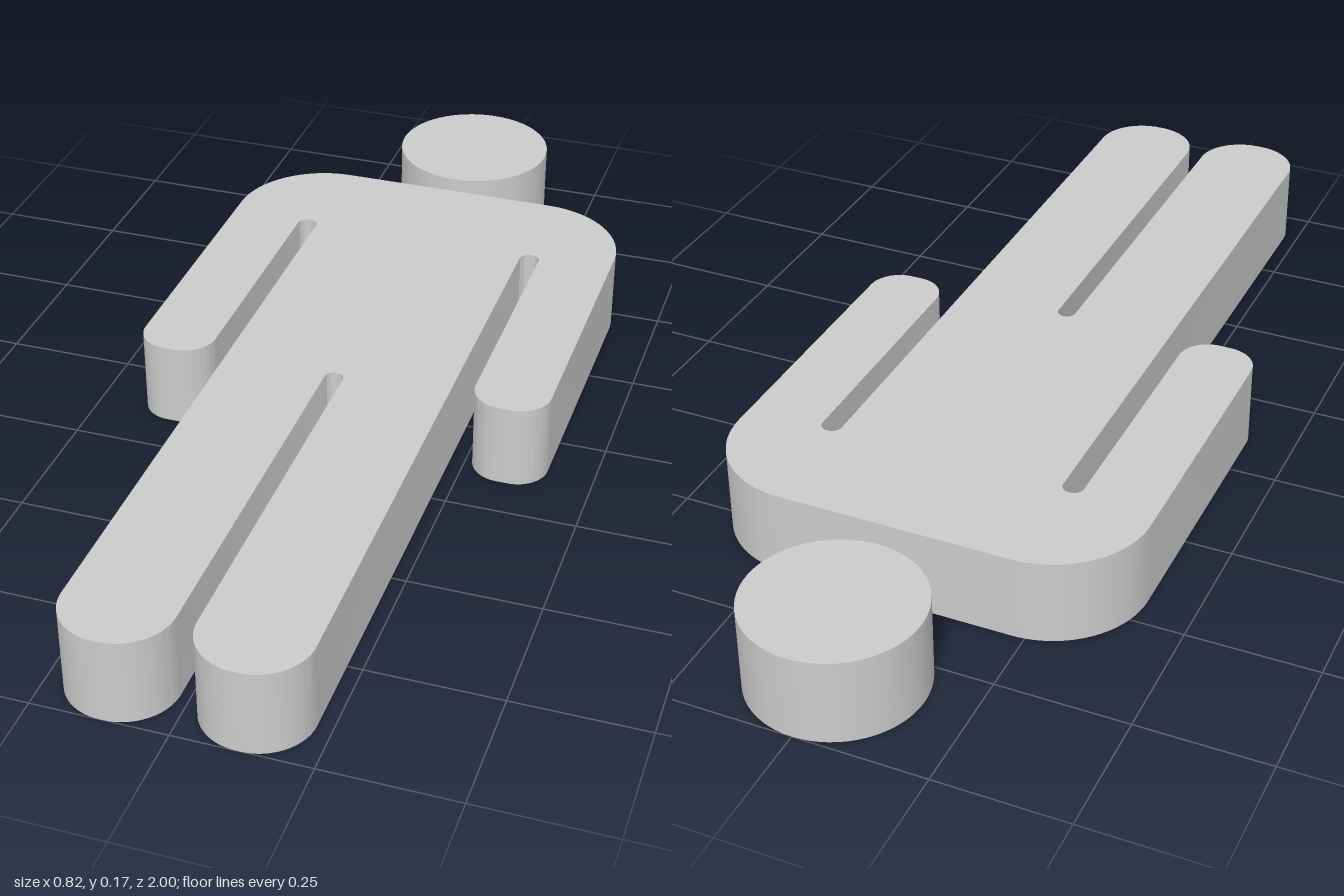
import * as THREE from 'three';
import { toCreasedNormals } from 'three/addons/utils/BufferGeometryUtils.js';

const THICKNESS = 0.167;

// Closed outline from corners [x, y, radius], each corner rounded by an arc
function roundedOutline(corners) {
  const shape = new THREE.Shape();
  const n = corners.length;
  corners.forEach(([x, y, r], i) => {
    const p = new THREE.Vector2(x, y);
    const toward = ([qx, qy]) => new THREE.Vector2(qx - x, qy - y).normalize().multiplyScalar(r);
    const back = toward(corners[(i + n - 1) % n]);
    const ahead = toward(corners[(i + 1) % n]);
    const centre = p.clone().add(back).add(ahead);
    const start = Math.atan2(-ahead.y, -ahead.x);
    const end = Math.atan2(-back.y, -back.x);
    const clockwise = back.cross(ahead) > 0;
    if (i === 0) shape.moveTo(p.x + back.x, p.y + back.y);
    shape.absarc(centre.x, centre.y, r, start, end, clockwise);
  });
  return shape;
}

export function createModel() {
  const model = new THREE.Group();
  model.name = 'lyingFigure';
  const material = new THREE.MeshStandardMaterial({ color: 0xcccccc });

  // Left half of the body, from crotch to shoulder (head end is +y before laying flat)
  const half = [
    [0.018, -0.14, 0.0175],  // crotch slot
    [0.018, -1.0, 0.098],    // foot, inner
    [0.222, -1.0, 0.098],    // foot, outer
    [0.222, 0.405, 0.0195],  // armpit slot, body side
    [0.262, 0.405, 0.0195],  // armpit slot, arm side
    [0.262, -0.16, 0.062],   // hand, inner
    [0.409, -0.16, 0.062],   // hand, outer
    [0.409, 0.622, 0.185],   // shoulder
  ];
  const mirrored = half.map(([x, y, r]) => [-x, y, r]).reverse();

  // Body with arms and legs, laid flat on the ground
  const bodyGeometry = new THREE.ExtrudeGeometry(roundedOutline([...half, ...mirrored]), {
    depth: THICKNESS, bevelEnabled: false, curveSegments: 16,
  });
  bodyGeometry.rotateX(-Math.PI / 2);
  const body = new THREE.Mesh(toCreasedNormals(bodyGeometry, 0.6), material);
  body.name = 'body';
  model.add(body);

  // Separate disc for the head
  const head = new THREE.Mesh(new THREE.CylinderGeometry(0.163, 0.163, THICKNESS, 64), material);
  head.name = 'head';
  head.position.set(0, THICKNESS / 2, -0.837);
  model.add(head);

  return model;
}
